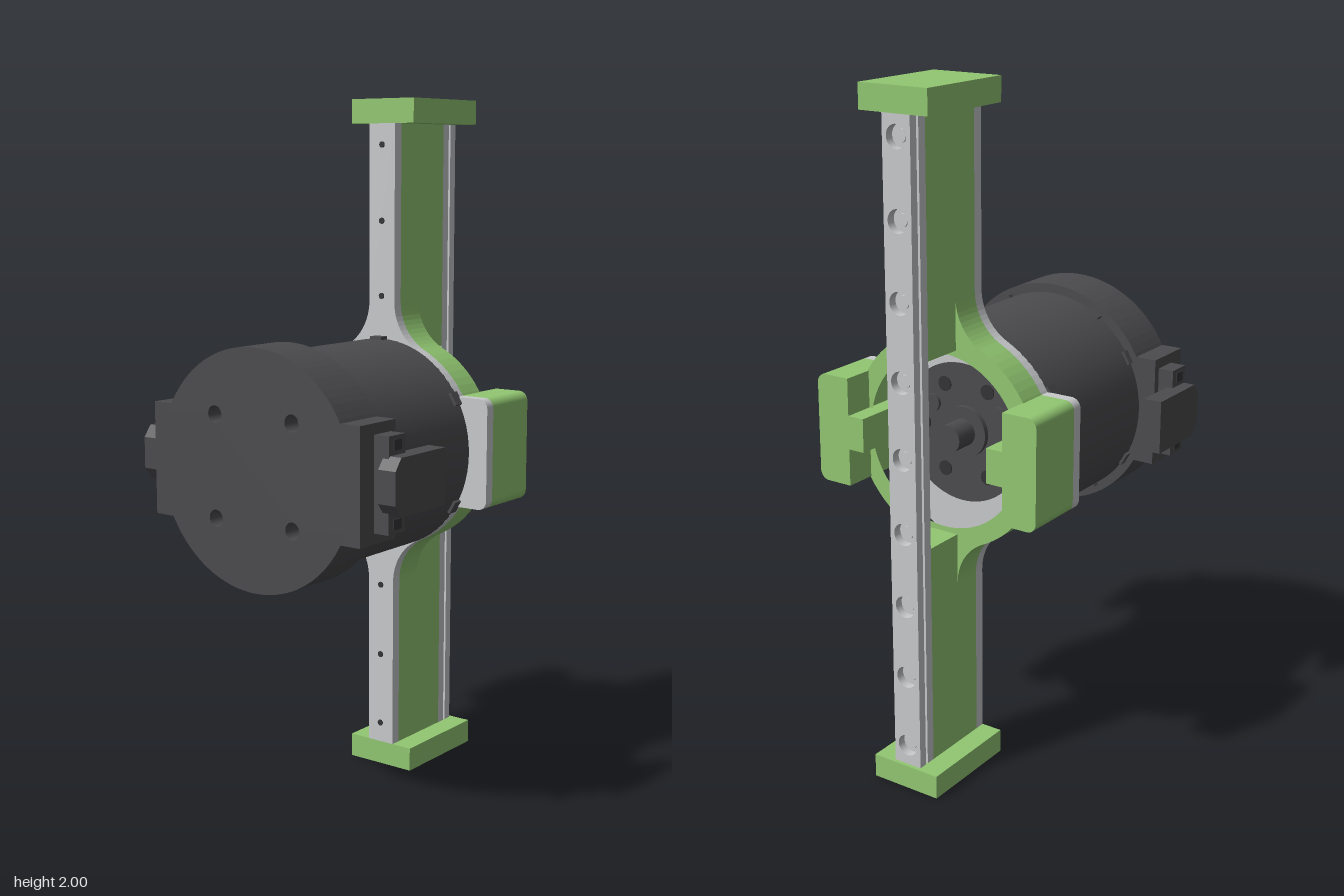
import * as THREE from 'three';

const mat = (name, color) => Object.assign(new THREE.MeshStandardMaterial({ color }), { name });

export function createModel() {
  const model = new THREE.Group();
  model.name = 'motorOnRailMount';
  const green = mat('green', 0x92c872);
  const grey = mat('lightGrey', 0xc8cacc);
  const dark = mat('charcoal', 0x4c4b4e);
  const black = mat('holeBlack', 0x343336);

  const add = (name, geo, material, parent = model) => {
    const m = new THREE.Mesh(geo, material);
    m.name = name;
    parent.add(m);
    return m;
  };
  // box given by its limits; y is measured from the motor axis
  const box = (name, x0, x1, y0, y1, z0, z1, m, parent) =>
    add(name, new THREE.BoxGeometry(x1 - x0, y1 - y0, z1 - z0)
      .translate((x0 + x1) / 2, (y0 + y1) / 2, (z0 + z1) / 2), m, parent);
  // cylinder along x
  const rod = (name, x0, x1, r, y, z, m, sides = 24) =>
    add(name, new THREE.CylinderGeometry(r, r, x1 - x0, sides)
      .rotateZ(-Math.PI / 2).translate((x0 + x1) / 2, y, z), m);
  // cross-section in the (z, y) plane pushed along x
  const slab = (name, shape, x0, x1, m, parent) =>
    add(name, new THREE.ExtrudeGeometry(shape, { depth: x1 - x0, bevelEnabled: false, curveSegments: 48 })
      .rotateY(Math.PI / 2).translate(x0, 0, 0), m, parent);
  const hole = (shape, z, y, r) => {
    const p = new THREE.Path();
    p.absarc(z, y, r, 0, Math.PI * 2, true);
    shape.holes.push(p);
  };

  // Ring flowing into a vertical strip, built from one mirrored quarter
  const ringStrip = (holeRadius) => {
    const q = [[0.045, 0.93]];
    const a0 = Math.PI, a1 = Math.atan2(-0.42, -0.2) + Math.PI * 2;
    for (let i = 0; i <= 12; i++) {
      const a = a0 + (a1 - a0) * i / 12;
      q.push([0.2 + 0.155 * Math.cos(a), 0.42 + 0.155 * Math.sin(a)]);
    }
    const b = Math.atan2(0.42, 0.2);
    for (let i = 1; i <= 14; i++) {
      const a = b * (1 - i / 14);
      q.push([0.31 * Math.cos(a), 0.31 * Math.sin(a)]);
    }
    const right = [...q, ...q.slice(0, -1).reverse().map(([z, y]) => [z, -y])];
    const all = [...right, ...right.slice().reverse().map(([z, y]) => [-z, y])];
    const s = new THREE.Shape(all.map(([z, y]) => new THREE.Vector2(z, y)));
    hole(s, 0, 0, holeRadius);
    return s;
  };
  slab('mountingPlate', ringStrip(0.205), 0.128, 0.16, grey);
  slab('ringBracket', ringStrip(0.255), 0.16, 0.25, green);

  // Side grips, with outer corners rounded
  const grip = new THREE.Shape();
  const r = 0.028;
  grip.moveTo(-0.262, -0.16);
  grip.lineTo(-0.262, 0.16);
  grip.lineTo(-0.37 + r, 0.16);
  grip.absarc(-0.37 + r, 0.16 - r, r, Math.PI / 2, Math.PI, false);
  grip.absarc(-0.37 + r, -0.16 + r, r, Math.PI, Math.PI * 1.5, false);
  grip.closePath();
  for (const s of [1, -1]) {
    const side = new THREE.Group();
    side.name = s > 0 ? 'frontGrip' : 'backGrip';
    if (s < 0) side.rotation.x = Math.PI;
    model.add(side);
    slab('gripPlate', grip, 0.128, 0.16, grey, side);
    slab('gripBlock', grip, 0.16, 0.345, green, side);
    box('gripTab', 0.16, 0.345, -0.05, 0.05, 0.21, 0.265, green, side);
  }

  // Upright beams and end caps
  for (const s of [1, -1]) {
    const lim = (a, b) => (s > 0 ? [a, b] : [-b, -a]);
    box('beam', 0.25, 0.375, ...lim(0.27, 0.93), -0.045, 0.045, green);
    box('endCap', 0.128, 0.45, ...lim(0.93, 1), -0.11, 0.11, green);
  }

  // Grooved rail with counterbored screw holes
  box('railBase', 0.375, 0.403, -0.93, 0.93, -0.045, 0.045, grey);
  box('railNeck', 0.403, 0.412, -0.93, 0.93, -0.035, 0.035, grey);
  const head = new THREE.Shape([[-0.045, -0.93], [0.045, -0.93], [0.045, 0.93], [-0.045, 0.93]]
    .map(([z, y]) => new THREE.Vector2(z, y)));
  for (let i = -4; i <= 4; i++) {
    const y = i * 0.2175;
    hole(head, 0, y, 0.032);
    rod('railScrew', 0.41, 0.42, 0.018, y, 0, grey, 16);
    // small fixing holes in the back of the plate
    if (Math.abs(i) > 1) rod('plateHole', 0.125, 0.13, 0.009, y, 0, black, 12);
  }
  slab('railHead', head, 0.412, 0.438, grey);

  // Motor body, rear cover and output face
  rod('motorBody', -0.4, 0.13, 0.31, 0, 0, dark, 72);
  const cover = new THREE.Shape();
  cover.absarc(0, 0, 0.337, 0, Math.PI * 2, false);
  for (const z of [-0.135, 0.135]) for (const y of [-0.145, 0.145]) hole(cover, z, y, 0.024);
  slab('rearCover', cover, -0.455, -0.3, dark);
  rod('outputFace', 0.13, 0.14, 0.198, 0, 0, dark, 48);
  rod('outputHub', 0.14, 0.155, 0.075, 0, 0, dark, 32);
  rod('outputShaft', 0.155, 0.23, 0.04, 0, 0, dark, 32);
  for (let i = 0; i < 6; i++) {
    const a = i * Math.PI / 3;
    rod('faceHole', 0.14, 0.143, 0.022, 0.147 * Math.sin(a), 0.147 * Math.cos(a), black);
  }
  for (const s of [1, -1]) rod('facePin', 0.14, 0.15, 0.026, 0.065, s * 0.115, dark);

  // Small lugs around both ends of the body
  const lug = (x0, x1, a) => {
    const m = box('bodyLug', x0, x1, -0.02, 0.02, 0.3, 0.318, dark);
    m.rotation.x = -a;
  };
  for (let i = 0; i < 12; i++) {
    const a = i * Math.PI / 6;
    if (i % 3) lug(-0.302, -0.28, a);
    if (i % 2) lug(0.098, 0.13, a);
  }

  // Cable sockets and plugs on both sides of the cover
  const plug = new THREE.Shape([[-0.19, -0.078], [-0.19, 0.078], [-0.39, 0.078], [-0.415, 0.045],
    [-0.415, -0.045], [-0.39, -0.078]].map(([x, y]) => new THREE.Vector2(x, y)));
  for (const s of [1, -1]) {
    const side = new THREE.Group();
    side.name = s > 0 ? 'frontConnector' : 'backConnector';
    if (s < 0) side.rotation.x = Math.PI;
    model.add(side);
    box('socketPad', -0.455, -0.3, -0.16, 0.16, 0.27, 0.36, dark, side);
    box('socket', -0.395, -0.322, -0.13, 0.13, 0.36, 0.407, dark, side);
    for (const t of [-0.105, 0.105])
      box('socketSlot', -0.375, -0.342, t - 0.014, t + 0.014, 0.405, 0.41, black, side);
    add('plug', new THREE.ExtrudeGeometry(plug, { depth: 0.055, bevelEnabled: false })
      .translate(0, 0, 0.388), dark, side);
  }

  // Lift so the lower end cap rests on the ground
  for (const child of model.children) child.position.y += 1;
  return model;
}
